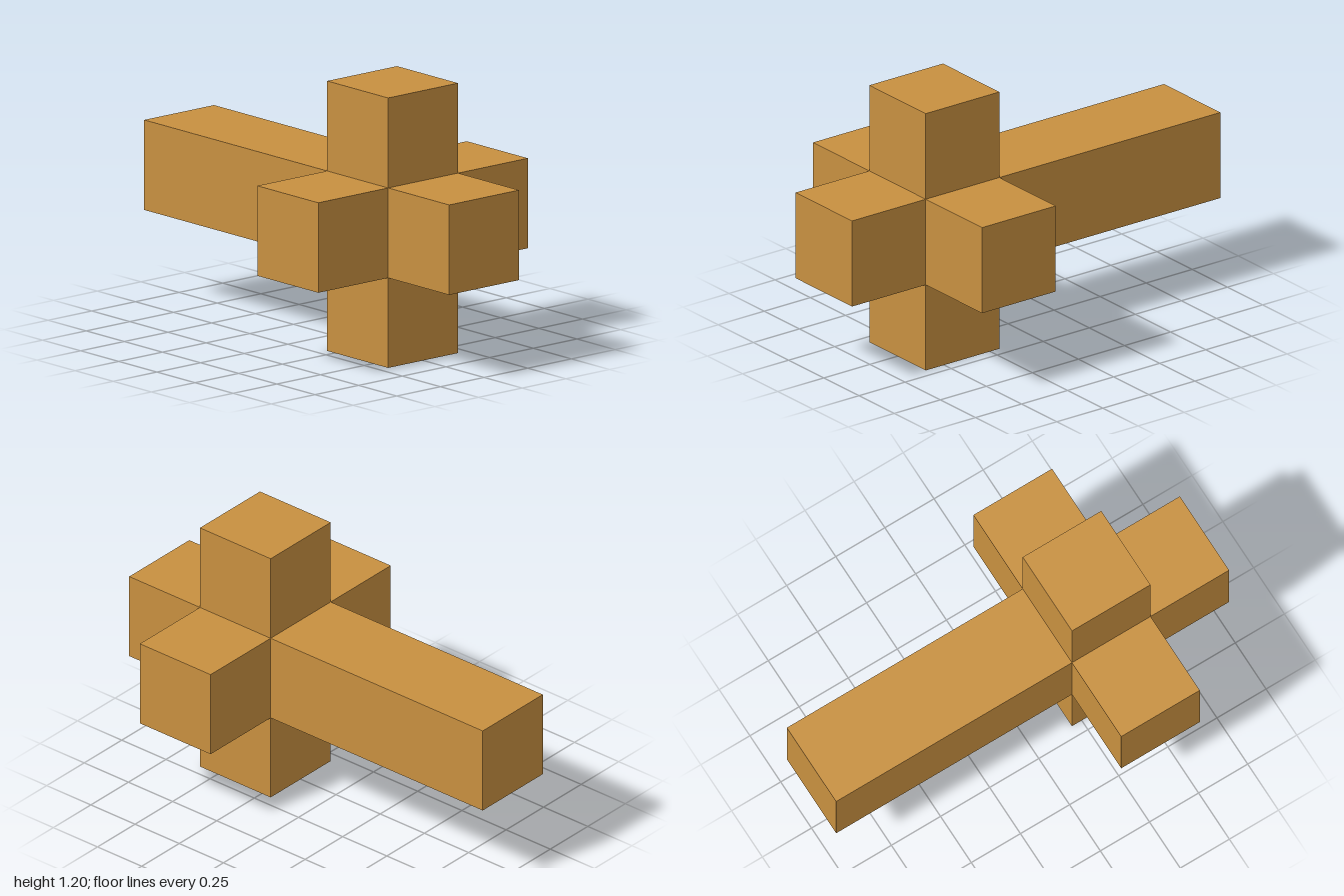
import * as THREE from 'three';

const T = 0.4; // thickness of every bar
const HUB = new THREE.Vector3(0.4, 0.6, 0); // where the bars cross

export function createModel() {
  const model = new THREE.Group();
  model.name = 'crossedBeams';
  const wood = new THREE.MeshStandardMaterial({ color: 0xc89040 });
  wood.name = 'wood';

  function addBar(name, w, h, d, x, y, z) {
    const bar = new THREE.Mesh(new THREE.BoxGeometry(w, h, d), wood);
    bar.name = name;
    bar.position.set(x, y, z);
    model.add(bar);
  }

  // long beam running side to side through the hub
  addBar('longBeam', 2, T, T, 0, HUB.y, 0);

  // four cube arms around the beam
  const arms = [
    ['topArm', 1, 0],
    ['bottomArm', -1, 0],
    ['frontArm', 0, 1],
    ['backArm', 0, -1],
  ];
  for (const [name, dy, dz] of arms) {
    addBar(name, T, T, T, HUB.x, HUB.y + dy * T, HUB.z + dz * T);
  }

  return model;
}
